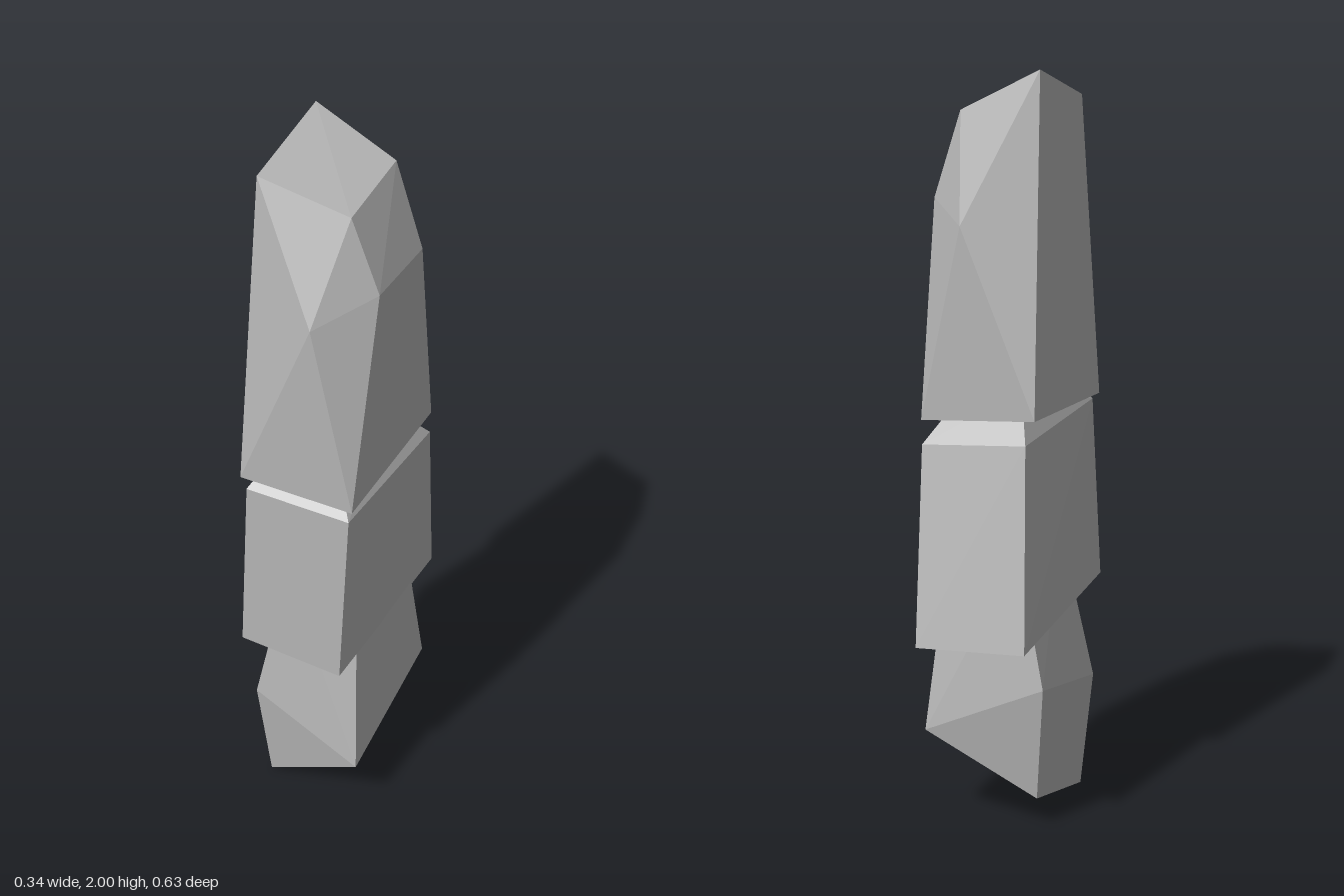
import * as THREE from 'three';
import { ConvexGeometry } from 'three/addons/geometries/ConvexGeometry.js';

// A faceted segment spanned by its corner points
function segment(name, corners, material) {
  const points = corners.map(([x, y, z]) => new THREE.Vector3(x, y, z));
  const mesh = new THREE.Mesh(new ConvexGeometry(points), material);
  mesh.name = name;
  return mesh;
}

export function createModel() {
  const group = new THREE.Group();
  group.name = 'segmentedDigit';
  const grey = new THREE.MeshStandardMaterial({ color: 0xb4b4b4, flatShading: true });
  grey.name = 'grey';

  // Lower segment: wedge-shaped foot, neck tucked into the middle segment
  group.add(segment('lowerSegment', [
    [-0.145, 0, 0.2], [-0.145, 0.08, -0.15],
    [0.155, 0.18, 0.255], [0.155, 0.255, -0.21],
    [-0.172, 0.32, 0.225], [-0.172, 0.395, -0.18],
    [-0.085, 0.75, 0.185], [-0.085, 0.75, -0.135],
    [0.118, 0.75, 0.175], [0.118, 0.75, -0.13],
  ], grey));

  // Middle segment: flared block with a bevelled cap under the tip
  group.add(segment('middleSegment', [
    [-0.16, 0.595, 0.315], [0.133, 0.567, 0.315],
    [-0.172, 0.53, -0.315], [0.133, 0.517, -0.315],
    [-0.135, 1.1, 0.305], [0.155, 1.085, 0.305],
    [-0.135, 1.055, -0.215], [0.155, 1.04, -0.215],
    [-0.08, 1.19, 0.21], [0.08, 1.18, 0.21],
    [-0.08, 1.18, -0.1], [0.08, 1.17, -0.1],
  ], grey));

  // Tip segment: flat on one side, faceted shoulder on the other
  group.add(segment('tipSegment', [
    [-0.16, 1.12, 0.29], [0.157, 1.105, 0.29],
    [-0.16, 1.12, -0.215], [0.157, 1.105, -0.215],
    [0.045, 1.61, 0.29], [0.045, 1.61, -0.215],
    [0.17, 1.675, 0.165], [0.17, 1.675, -0.09],
    [0.095, 1.865, 0.165], [0.095, 1.9, -0.09],
    [-0.134, 1.94, 0.2], [-0.134, 2, -0.115],
  ], grey));

  return group;
}
